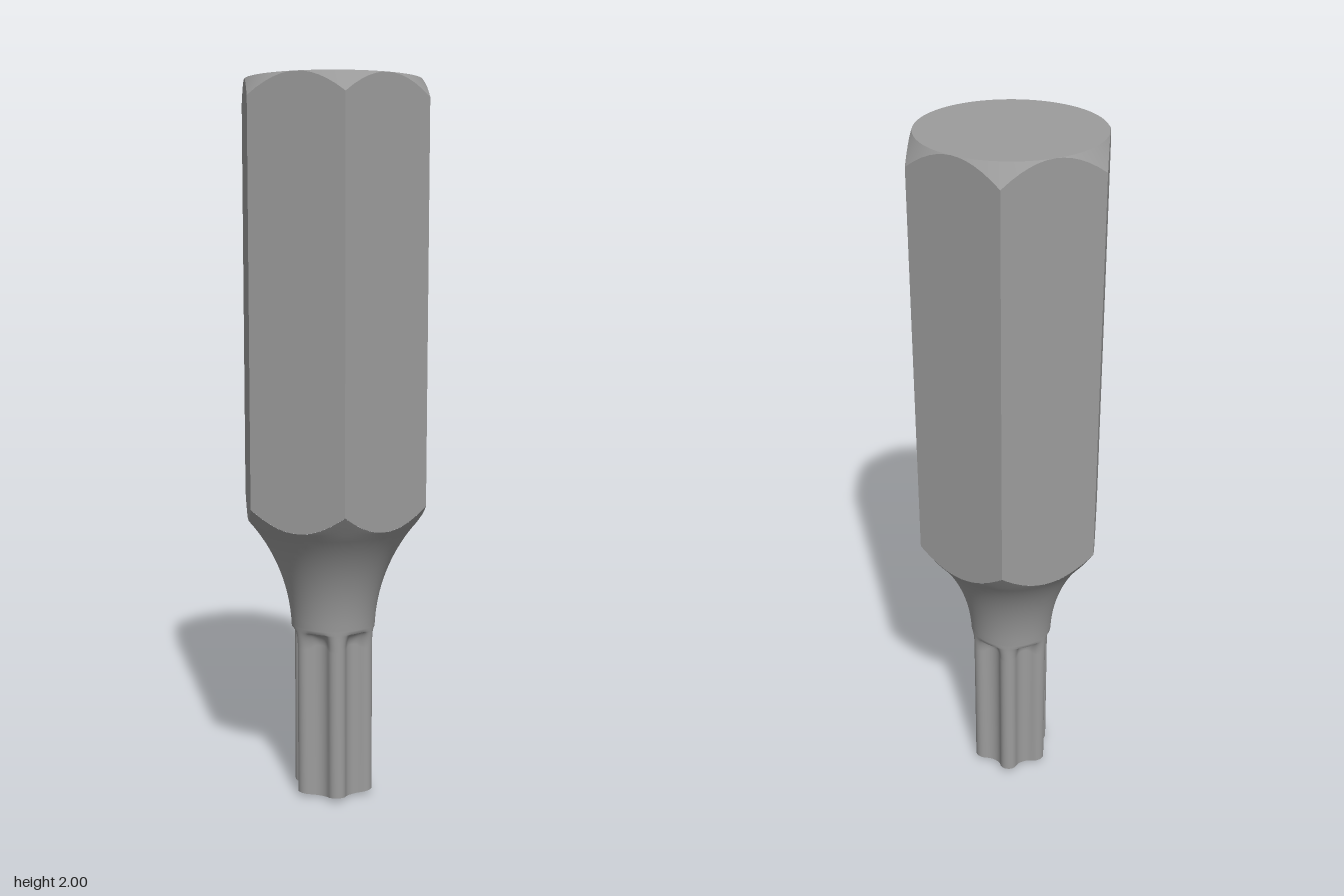
import * as THREE from 'three';

const APOTHEM = 0.24, TIP_R = 0.118, BORE_R = 0.033;
const GROOVE_END = 0.45, TIP_TOP = 0.5, NECK_LOW = 0.47, NECK_TOP = 0.8, NECK_ARC = 0.507;
const material = new THREE.MeshStandardMaterial({ color: 0x9c9c9c });

// Lofts rings about the y axis; each row maps an angle to [radius, height].
function loft(name, rows, n, flat = false) {
  const pos = [], idx = [];
  rows.forEach((row, i) => {
    for (let j = 0; j < n; j++) {
      const t = (j / n) * Math.PI * 2;
      const [r, y] = row(t);
      pos.push(r * Math.cos(t), y, -r * Math.sin(t));
      if (i === rows.length - 1) continue;
      const a = i * n + j, b = i * n + (j + 1) % n;
      idx.push(a, b, a + n, b, b + n, a + n);
    }
  });
  let geo = new THREE.BufferGeometry();
  geo.setAttribute('position', new THREE.Float32BufferAttribute(pos, 3));
  geo.setIndex(idx);
  if (flat) geo = geo.toNonIndexed();
  geo.computeVertexNormals();
  const mesh = new THREE.Mesh(geo, material);
  mesh.name = name;
  return mesh;
}

const ring = (r, y) => () => [r, y];

// Angle folded into one sixth of a turn, measured from its middle.
const fold = t => ((t % (Math.PI / 3)) + Math.PI / 3) % (Math.PI / 3) - Math.PI / 6;
const hexRadius = t => APOTHEM / Math.cos(fold(t));

// Concave arc that starts upright on the tip and flares upward.
function neckRadius(y) {
  const dy = Math.max(0, y - NECK_LOW);
  return TIP_R + NECK_ARC - Math.sqrt(NECK_ARC * NECK_ARC - dy * dy);
}

// Six-lobed section made of tangent lobe and groove arcs.
function lobeRadius(t) {
  const psi = fold(t), phi = Math.PI / 6 - Math.abs(psi);
  if (phi < 0.2427) {
    const d = 0.093, l = 0.025;
    return d * Math.cos(phi) + Math.sqrt(Math.max(0, l * l - (d * Math.sin(phi)) ** 2));
  }
  const c = 0.1229, g = 0.0379;
  return c * Math.cos(psi) - Math.sqrt(Math.max(0, g * g - (c * Math.sin(psi)) ** 2));
}

// Groove run-out at stage f (0 to 1): scooped in the groove, gradual on the lobes.
function runOut(f) {
  const a = f * Math.PI / 2;
  return t => {
    const q = Math.min(1, Math.abs(fold(t)) / 0.281) ** 4;
    const y = GROOVE_END + 0.04 * (Math.sin(a) * (1 - q) + f * q) - 0.012 * q * (1 - f);
    const r = neckRadius(y);
    return [r + (lobeRadius(t) - r) * Math.cos(a), y];
  };
}

export function createModel() {
  const group = new THREE.Group();
  group.name = 'driverBit';

  // Hexagonal shank, its ends cut by cones
  const topEdge = t => [hexRadius(t), 2 - (hexRadius(t) - APOTHEM) * 1.48];
  const lowEdge = t => [hexRadius(t), NECK_TOP + (hexRadius(t) - APOTHEM) * 1.48];
  group.add(loft('shankSides', [lowEdge, topEdge], 72, true));
  group.add(loft('shankTopChamfer', [topEdge, ring(APOTHEM, 2)], 72));
  group.add(loft('shankTop', [ring(APOTHEM, 2), ring(0, 2)], 72));

  // Neck flaring from the tip into the shank
  const neck = [];
  for (let i = 0; i <= 14; i++) {
    const y = TIP_TOP + (NECK_TOP - TIP_TOP) * i / 14;
    neck.push(ring(neckRadius(y), y));
  }
  neck.push(lowEdge);
  group.add(loft('neck', neck, 144));

  // Lobed tip with grooves that run out in a rounded end
  const bottomEdge = t => [lobeRadius(t), 0.014 * (lobeRadius(t) - 0.06) / 0.058];
  const tip = [bottomEdge];
  for (let i = 0; i <= 10; i++) tip.push(runOut(i / 10));
  tip.push(ring(neckRadius(TIP_TOP), TIP_TOP));
  group.add(loft('lobedTip', tip, 144));

  // End face with a slight bevel around the bore
  group.add(loft('tipFace', [ring(BORE_R, 0), ring(0.06, 0)], 144));
  group.add(loft('tipBevel', [ring(0.06, 0), bottomEdge], 144));

  // Blind centre bore
  group.add(loft('boreFloor', [ring(0, 0.3), ring(BORE_R, 0.3)], 36));
  group.add(loft('boreWall', [ring(BORE_R, 0.3), ring(BORE_R, 0)], 36));

  return group;
}
